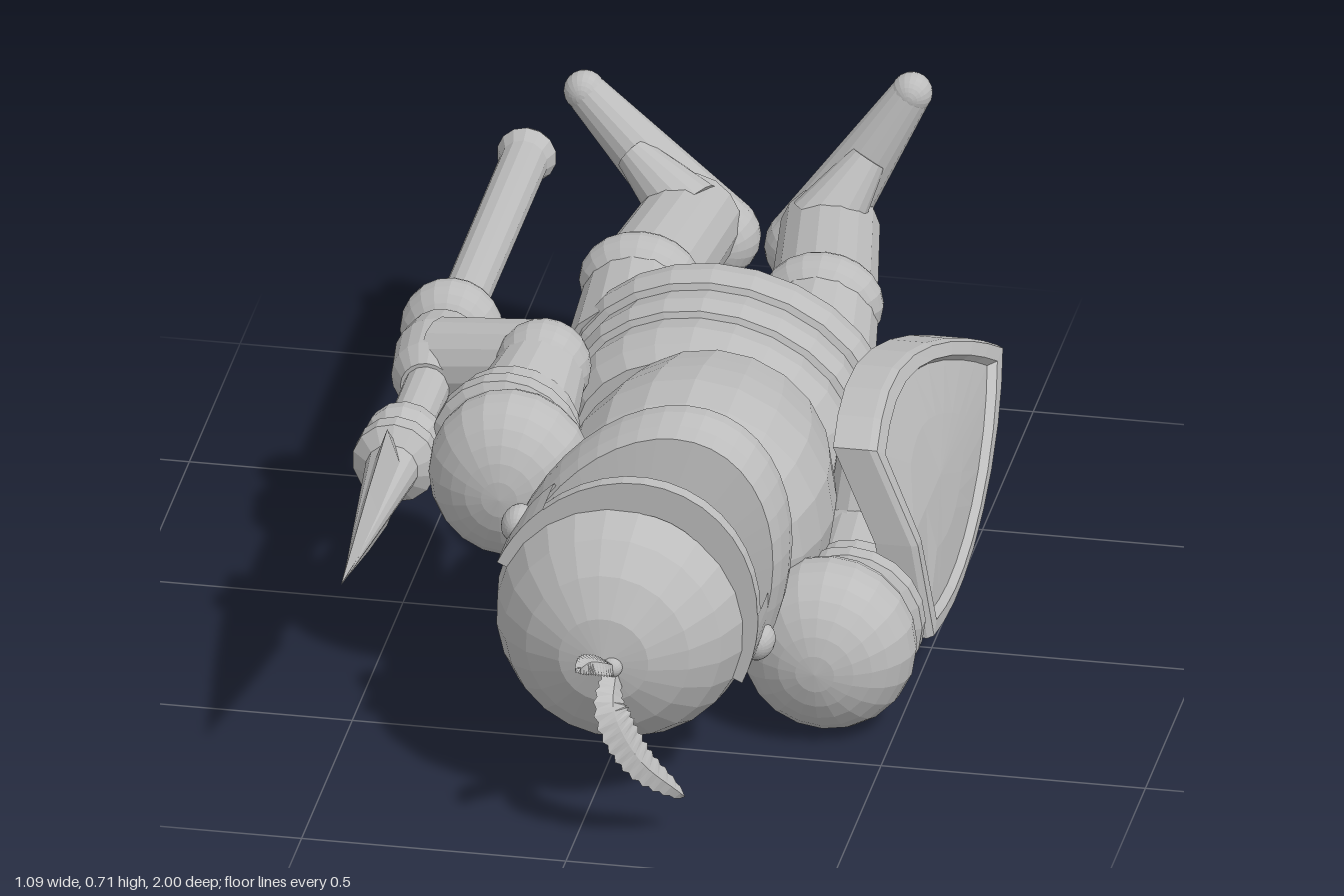
import * as THREE from 'three';

const steel = new THREE.MeshStandardMaterial({ color: 0xbcbcbc, flatShading: true, side: THREE.DoubleSide });
steel.name = 'steel grey';

export function createModel() {
  const model = new THREE.Group();
  model.name = 'recliningKnight';

  const add = (name, geo, parent = model) => {
    const m = new THREE.Mesh(geo, steel);
    m.name = name;
    parent.add(m);
    return m;
  };
  // Turned part along z; profile is [radius, z] with z rising
  const turned = (name, profile, x, y, { seg = 20, sx = 1, sy = 1, tilt = 0, parent = model, from = 0, arc = Math.PI * 2 } = {}) => {
    const g = new THREE.LatheGeometry(profile.map(p => new THREE.Vector2(...p)), seg, from, arc);
    g.rotateX(Math.PI / 2).scale(sx, sy, 1).rotateZ(tilt);
    add(name, g, parent).position.set(x, y, 0);
  };
  const ball = (name, [x, y, z], r, sx = 1, sy = 1, sz = 1, parent = model) => {
    const g = new THREE.SphereGeometry(r, 20, 14).rotateX(Math.PI / 2).scale(sx, sy, sz);
    add(name, g, parent).position.set(x, y, z);
  };
  const limb = (name, p, q, r1, r2) => {
    const a = new THREE.Vector3(...p), b = new THREE.Vector3(...q), d = b.clone().sub(a);
    const m = add(name, new THREE.CylinderGeometry(r2, r1, d.length(), 16));
    m.position.copy(a).add(b).multiplyScalar(0.5);
    m.quaternion.setFromUnitVectors(new THREE.Vector3(0, 1, 0), d.normalize());
  };

  // Torso, gorget and tiered skirt
  turned('torso', [[0, -0.08], [0.215, -0.07], [0.235, 0], [0.252, 0.07], [0.262, 0.15], [0.256, 0.24], [0.236, 0.32], [0.2, 0.365], [0, 0.37]], 0.082, 0.33);
  turned('gorget', [[0, 0.35], [0.2, 0.35], [0.21, 0.365], [0.2, 0.385], [0.19, 0.39], [0.2, 0.41], [0.19, 0.43], [0.19, 0.47], [0, 0.47]], 0.07, 0.34);
  turned('skirt', [[0, -0.38], [0.302, -0.38], [0.308, -0.345], [0.297, -0.305], [0.282, -0.3], [0.292, -0.25], [0.282, -0.21], [0.268, -0.205],
    [0.278, -0.15], [0.266, -0.1], [0.24, -0.065], [0, -0.06]], 0.05, 0.32, { sy: 0.81, tilt: -0.2, seg: 24 });

  // Helmet, turned a little to its left
  const helmet = new THREE.Group();
  helmet.name = 'helmet';
  helmet.position.set(0.042, 0.347, 0);
  helmet.rotation.z = -0.42;
  model.add(helmet);
  turned('helmetDome', [[0, 0.44], [0.2, 0.44], [0.228, 0.5], [0.243, 0.56], [0.245, 0.62], [0.234, 0.69], [0.205, 0.755],
    [0.155, 0.81], [0.085, 0.85], [0, 0.866]], 0, 0, { seg: 24, parent: helmet });
  const halfArc = { from: Math.PI / 2, arc: Math.PI, parent: helmet };
  turned('chinGuard', [[0.17, 0.45], [0.228, 0.45], [0.244, 0.465], [0.257, 0.495], [0.258, 0.525], [0.251, 0.565], [0.24, 0.59], [0.17, 0.605]],
    0.008, 0, { ...halfArc, sy: 1.5, seg: 22 });
  turned('browBand', [[0.2, 0.66], [0.253, 0.66], [0.253, 0.69], [0.2, 0.69]], 0, 0, { ...halfArc, sy: 1.18, seg: 20 });
  for (const s of [-1, 1]) {
    turned('visorCheek', [[0.2, 0.58], [0.254, 0.58], [0.254, 0.69], [0.2, 0.69]], 0, 0,
      { parent: helmet, from: s > 0 ? Math.PI / 2 : Math.PI * 1.5 - 0.5, arc: 0.5, sy: 1.18, seg: 5 });
    ball('visorPivot', [s * 0.25, 0.035, 0.58], 0.037, 0.8, 1, 1, helmet);
  }

  // Plume: two curved feathers with notched edges
  const feather = (pts, width, facing) => {
    const curve = new THREE.CatmullRomCurve3(pts.map(p => new THREE.Vector3(...p)));
    const n = 32, pos = [], idx = [];
    for (let i = 0; i <= n; i++) {
      const t = i / n, c = curve.getPoint(t), tan = curve.getTangent(t);
      const side = new THREE.Vector3(...facing).cross(tan).normalize();
      const up = tan.clone().cross(side).normalize().multiplyScalar(0.01);
      const w = width * Math.pow(Math.sin(Math.PI * (0.08 + 0.9 * t)), 0.6) * (i % 2 ? 1 : 0.82);
      for (const [a, b] of [[-1, 0], [0, 1], [1, 0], [0, -0.4]])
        pos.push(...c.clone().addScaledVector(side, a * w).addScaledVector(up, b).toArray());
      if (i < n) for (let k = 0; k < 4; k++) {
        const a = i * 4 + k, b = i * 4 + (k + 1) % 4;
        idx.push(a, b, a + 4, b, b + 4, a + 4);
      }
    }
    const g = new THREE.BufferGeometry();
    g.setAttribute('position', new THREE.Float32BufferAttribute(pos, 3));
    g.setIndex(idx);
    g.computeVertexNormals();
    add('plumeFeather', g);
  };
  feather([[0.06, 0.33, 0.85], [0.07, 0.28, 0.92], [0.115, 0.18, 0.91], [0.19, 0.08, 0.85]], 0.04, [0.65, 0.3, 0.7]);
  feather([[0.06, 0.33, 0.85], [0.05, 0.365, 0.91], [0.03, 0.385, 0.95], [0.02, 0.395, 0.998]], 0.026, [0.75, 0.6, -0.1]);
  ball('plumeSocket', [0.06, 0.34, 0.86], 0.02);

  // Right arm holding the lance
  const cuffs = (name, x, y, z) => turned(name, [[0, z - 0.12], [0.1, z - 0.12], [0.125, z - 0.095], [0.125, z - 0.055], [0.115, z - 0.05],
    [0.14, z - 0.035], [0.14, z], [0.125, z + 0.01], [0, z + 0.01]], x, y);
  ball('rightShoulder', [-0.235, 0.45, 0.315], 0.163, 0.95, 1, 0.75);
  cuffs('rightArmCuffs', -0.26, 0.46, 0.24);
  limb('rightUpperArm', [-0.255, 0.46, 0.2], [-0.235, 0.51, 0.02], 0.115, 0.085);
  ball('rightElbow', [-0.235, 0.515, 0.0], 0.09);
  limb('rightForearm', [-0.22, 0.515, -0.02], [-0.44, 0.46, -0.09], 0.08, 0.085);
  turned('rightGauntlet', [[0, -0.18], [0.075, -0.18], [0.085, -0.12], [0.075, -0.04], [0.05, 0], [0, 0]], -0.455, 0.45);
  ball('rightFist', [-0.455, 0.45, -0.245], 0.097, 1, 1.05, 0.8);

  // Lance
  turned('lanceShaft', [[0, -1], [0.05, -1], [0.057, -0.985], [0.045, -0.955], [0.043, 0.2], [0.072, 0.205], [0.076, 0.235], [0.06, 0.268],
    [0.05, 0.275], [0.08, 0.285], [0.08, 0.32], [0.05, 0.345], [0.022, 0.62], [0, 0.83]], -0.455, 0.45, { seg: 14 });
  turned('lanceBlade', [[0.05, 0.33], [0.1, 0.39], [0.065, 0.57], [0, 0.845]], -0.455, 0.455, { seg: 4, sx: 0.35 });

  // Left arm behind the shield
  ball('leftShoulder', [0.37, 0.166, 0.34], 0.166, 1, 1, 0.85);
  cuffs('leftArmCuffs', 0.39, 0.165, 0.25);
  limb('leftUpperArm', [0.38, 0.17, 0.2], [0.37, 0.2, 0.0], 0.1, 0.085);
  ball('leftElbow', [0.37, 0.2, -0.01], 0.09);
  limb('leftForearm', [0.37, 0.2, -0.01], [0.38, 0.33, -0.1], 0.075, 0.08);
  ball('leftFist', [0.38, 0.335, -0.12], 0.075);

  // Shield: outline scaled inward ring by ring, bent over a curved face
  const half = [[0.2, 0.19], [0.1, 0.208], [0, 0.217], [-0.1, 0.214], [-0.2, 0.198], [-0.3, 0.17], [-0.4, 0.132], [-0.5, 0.085], [-0.58, 0.042]];
  const outline = [[0.205, 0], ...half, [-0.65, 0], ...half.map(([z, y]) => [z, -y]).reverse()];
  const rings = [[0.001, -0.015], [0.45, -0.015], [0.84, -0.015], [0.88, 0], [0.98, 0], [1, -0.012], [1, -0.08], [0.5, -0.08], [0.001, -0.08]];
  const pos = [], idx = [], n = outline.length;
  rings.forEach(([s, off], r) => outline.forEach(([oz, oy], i) => {
    const z = -0.1 + s * (oz + 0.1), v = s * oy;
    pos.push(0.512 - 0.29 * v - 0.7 * v * v + off, 0.31 + v, z);
    const a = r * n + i, b = r * n + (i + 1) % n;
    if (r < rings.length - 1) idx.push(a, a + n, b, b, a + n, b + n);
  }));
  const shield = new THREE.BufferGeometry();
  shield.setAttribute('position', new THREE.Float32BufferAttribute(pos, 3));
  shield.setIndex(idx);
  shield.computeVertexNormals();
  add('shield', shield);

  // Legs and pointed boots
  const leg = (side, hip, knee, ankle, heel, toe) => {
    limb(side + 'Thigh', hip, knee, 0.125, 0.105);
    ball(side + 'Knee', [knee[0], knee[1] + 0.025, knee[2]], 0.096, 1.2, 1, 0.82);
    limb(side + 'Shin', knee, ankle, 0.103, 0.094);
    ball(side + 'BootHeel', heel, 0.078);
    limb(side + 'Boot', heel, toe, 0.078, 0.038);
    ball(side + 'BootToe', toe, 0.039);
    const mid = heel.map((h, i) => h + (toe[i] - h) * 0.62);
    limb(side + 'BootTongue', [ankle[0], ankle[1] + 0.04, -0.85], [mid[0], mid[1], -0.91], 0.07, 0.035);
  };
  leg('right', [-0.135, 0.37, -0.34], [-0.155, 0.41, -0.54], [-0.125, 0.39, -0.9], [-0.078, 0.352, -0.918], [-0.34, 0.61, -0.955]);
  leg('left', [0.2, 0.36, -0.34], [0.19, 0.4, -0.54], [0.135, 0.39, -0.9], [0.086, 0.345, -0.918], [0.279, 0.664, -0.955]);

  return model;
}
